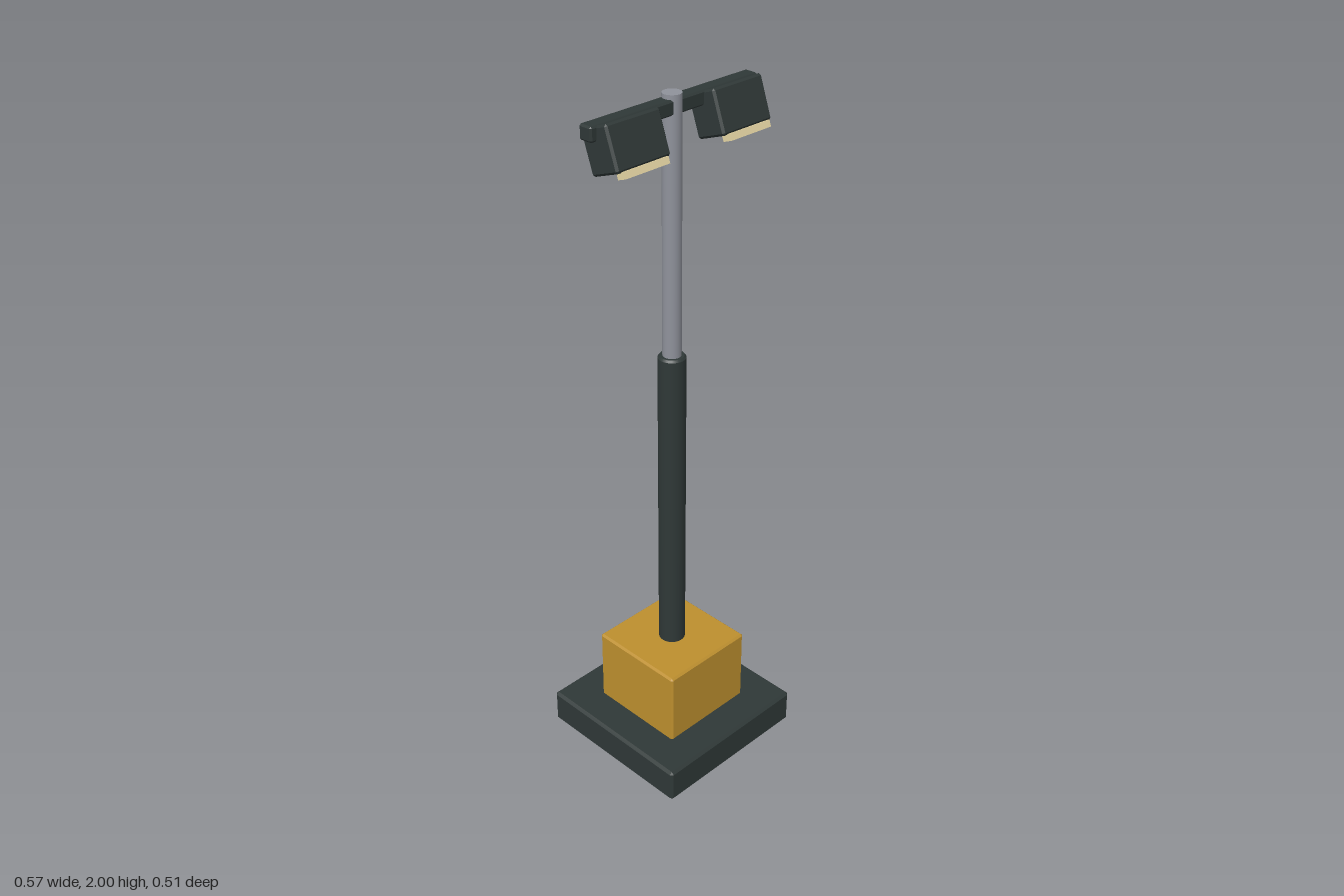
import * as THREE from 'three';
import { ConvexGeometry } from 'three/addons/geometries/ConvexGeometry.js';

const paint = (name, color) => {
  const m = new THREE.MeshStandardMaterial({ color });
  m.name = name;
  return m;
};

// Box with every edge cut by a flat chamfer c
function chamferBox(w, h, d, c) {
  const pts = [];
  for (const x of [-1, 1]) for (const y of [-1, 1]) for (const z of [-1, 1]) {
    const a = w / 2, b = h / 2, e = d / 2;
    pts.push(
      new THREE.Vector3(x * a, y * (b - c), z * (e - c)),
      new THREE.Vector3(x * (a - c), y * b, z * (e - c)),
      new THREE.Vector3(x * (a - c), y * (b - c), z * e)
    );
  }
  return new ConvexGeometry(pts);
}

export function createModel() {
  const model = new THREE.Group();
  model.name = 'floodlightMast';
  const dark = paint('dark grey', 0x2f3837);
  const yellow = paint('ochre yellow', 0xbd8f2e);
  const steel = paint('steel grey', 0x8f929b);
  const cream = paint('warm cream', 0xe6d6a4);

  const add = (parent, name, geometry, material, x, y, z) => {
    const mesh = new THREE.Mesh(geometry, material);
    mesh.name = name;
    mesh.position.set(x, y, z);
    parent.add(mesh);
    return mesh;
  };

  // Base slab and power box
  add(model, 'baseSlab', chamferBox(0.508, 0.105, 0.508, 0.008), dark, 0, 0.0525, 0);
  add(model, 'powerBox', chamferBox(0.302, 0.235, 0.302, 0.006), yellow, 0, 0.2145, 0);

  // Telescopic mast: lower sleeve with a chamfered rim, slim upper tube
  add(model, 'lowerMast', new THREE.CylinderGeometry(0.039, 0.039, 0.95, 24), dark, 0, 0.799, 0);
  add(model, 'lowerMastRim', new THREE.CylinderGeometry(0.034, 0.039, 0.006, 24), dark, 0, 1.277, 0);
  add(model, 'upperMast', new THREE.CylinderGeometry(0.026, 0.026, 0.74, 24), steel, 0, 1.63, 0);

  // Cross arm
  add(model, 'crossArm', chamferBox(0.572, 0.04, 0.042, 0.005), dark, 0, 1.968, 0);

  // Two tilted lamp heads with a lens strip at the lower front edge
  for (const side of [-1, 1]) {
    const lamp = new THREE.Group();
    lamp.name = side > 0 ? 'leftLamp' : 'rightLamp';
    lamp.position.set(side * 0.179, 1.927, 0.026);
    lamp.rotation.x = -THREE.MathUtils.degToRad(20);
    add(lamp, 'lampHousing', chamferBox(0.177, 0.118, 0.096, 0.006), dark, 0, 0, 0);
    add(lamp, 'lampLens', new THREE.BoxGeometry(0.145, 0.018, 0.029), cream, 0, -0.066, 0.0385);
    model.add(lamp);
  }
  return model;
}
